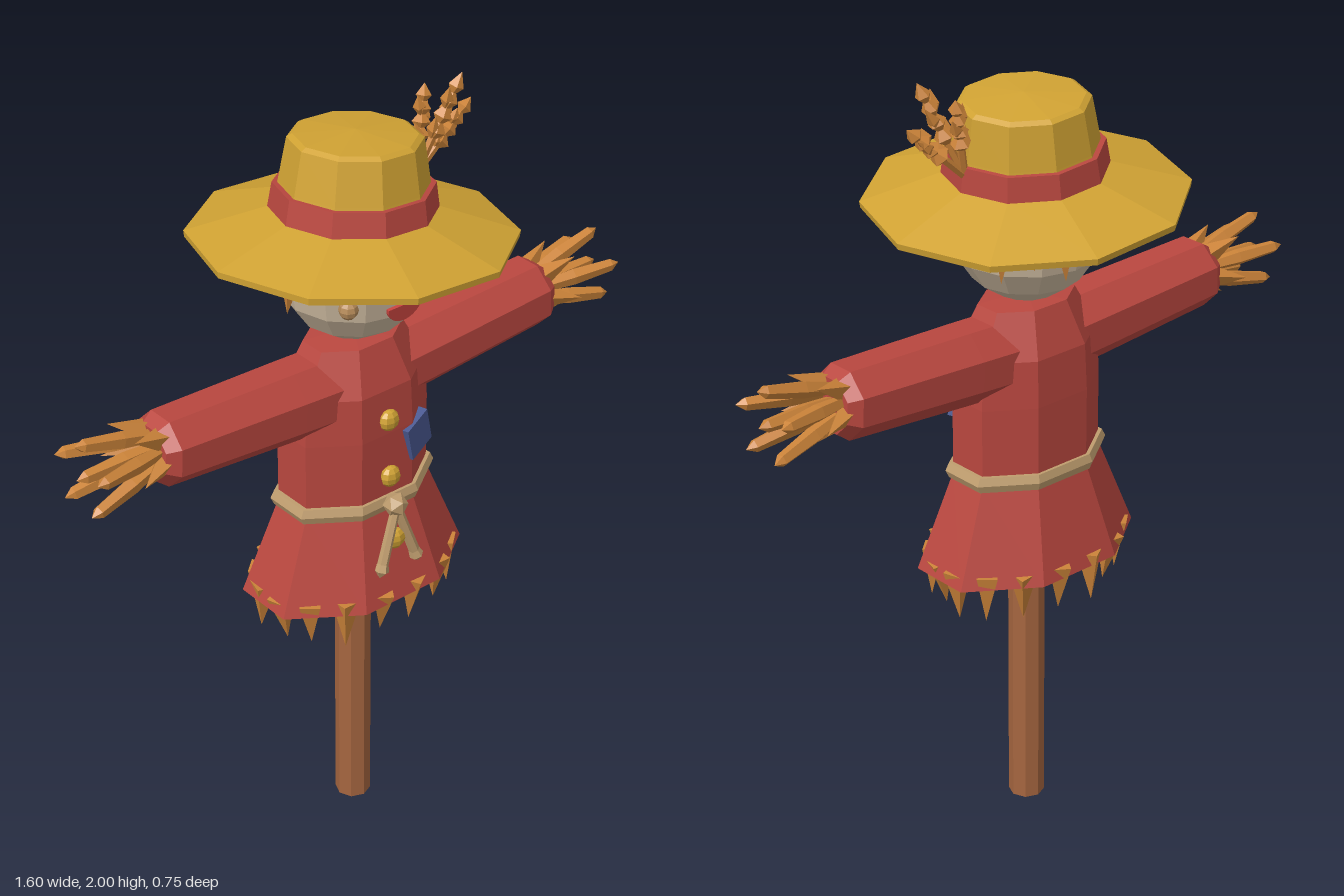
import * as THREE from 'three';

const mat = (name, color, double = false) => {
  const m = new THREE.MeshStandardMaterial({ color, flatShading: true });
  if (double) m.side = THREE.DoubleSide;
  m.name = name;
  return m;
};
const V = (x, y, z) => new THREE.Vector3(x, y, z);

export function createModel() {
  const red = mat('red cloth', 0xb9473f, true);
  const gold = mat('hat straw', 0xd0a233);
  const straw = mat('orange straw', 0xcb8339);
  const wood = mat('pole wood', 0xa5653f);
  const rope = mat('rope', 0xbf9d6e);
  const sack = mat('sackcloth', 0xccb99f);
  const blue = mat('patch blue', 0x4b5a92);
  const navy = mat('eye navy', 0x303a6c);
  const tan = mat('cheek tan', 0xb58a58);
  const mouthRed = mat('mouth red', 0xc9453f, true);

  const root = new THREE.Group();
  const add = (name, geo, material, parent = root) => {
    const m = new THREE.Mesh(geo, material);
    m.name = name;
    parent.add(m);
    return m;
  };
  const group = (name, parent = root) => {
    const g = new THREE.Group();
    g.name = name;
    parent.add(g);
    return g;
  };
  const lathe = (pts, sides, start = 0) =>
    new THREE.LatheGeometry(pts.map(p => new THREE.Vector2(p[0], p[1])), sides, start);
  // Turned profile running from a to b; each entry is [radius, fraction of the length]
  const rod = (name, a, b, profile, sides, material, parent) => {
    const d = b.clone().sub(a), len = d.length();
    const m = add(name, lathe(profile.map(([r, t]) => [r, t * len]), sides, Math.PI / sides), material, parent);
    m.position.copy(a);
    m.quaternion.setFromUnitVectors(V(0, 1, 0), d.normalize());
    return m;
  };
  const spike = r => [[0, 0], [r, 0], [0, 1]];

  // Pole
  add('pole', new THREE.CylinderGeometry(0.046, 0.046, 1.0, 8), wood).position.y = 0.5;

  // Coat: flared skirt below the belt, straight chest, sloped shoulders
  const DEPTH = 0.685;
  const coat = group('coat');
  coat.scale.z = DEPTH;
  add('coatBody', lathe([[0.31, 0.735], [0.206, 0.98], [0.206, 1.18], [0.198, 1.3], [0.135, 1.41], [0, 1.42]],
    8, Math.PI / 8), red, coat);
  const beltProfile = [];
  for (let i = 0; i <= 6; i++) {
    const a = i / 6 * Math.PI * 2;
    beltProfile.push([0.208 + 0.02 * Math.cos(a), 0.987 + 0.023 * Math.sin(a)]);
  }
  add('ropeBelt', lathe(beltProfile, 8, Math.PI / 8), rope, coat);

  // Straw fringe under the hem
  const fringe = group('hemFringe');
  for (let i = 0; i < 16; i++) {
    const a = (i + 0.5) / 16 * Math.PI * 2, s = Math.sin(a), c = Math.cos(a);
    const r = 0.262, tip = 0.255 + 0.015 * (i % 3 - 1);
    rod('fringeStraw', V(s * r, 0.765, c * r * DEPTH), V(s * tip, 0.63 + 0.012 * (i % 2), c * tip * DEPTH),
      spike(0.036), 4, straw, fringe);
  }

  // Belt knot with two hanging ends
  const knot = add('beltKnot', new THREE.IcosahedronGeometry(0.032, 0), rope);
  knot.position.set(0, 0.993, 0.162);
  for (const s of [-1, 1]) {
    rod('ropeEnd', V(0, 0.99, 0.165), V(s * 0.062, 0.81, 0.178),
      [[0, 0], [0.012, 0], [0.014, 0.8], [0.019, 0.9], [0, 1]], 6, rope);
  }

  // Buttons
  for (const [y, z] of [[1.222, 0.136], [1.066, 0.143], [0.895, 0.163]]) {
    const b = add('button', new THREE.SphereGeometry(0.028, 8, 6), gold);
    b.position.set(0, y, z);
    b.scale.z = 0.7;
  }

  // Chest patch
  const patch = add('chestPatch', new THREE.BoxGeometry(0.088, 0.095, 0.025), blue);
  patch.position.set(0.1, 1.135, 0.118);
  patch.rotation.set(0, 0.3, 0.25);

  // Arms with straw hands
  for (const s of [-1, 1]) {
    const arm = group(s > 0 ? 'leftArm' : 'rightArm');
    rod('sleeve', V(s * 0.05, 1.283, 0), V(s * 0.6, 1.312, 0),
      [[0, 0], [0.102, 0], [0.1, 0.3], [0.092, 0.945], [0.07, 1], [0, 1]], 8, red, arm);
    const straws = [0, 1, 2, 3, 4].map(i => i / 5 * Math.PI * 2);
    const at = (x, r, a) => V(s * x, 1.318 + r * Math.cos(a), r * Math.sin(a));
    const long = [[0, 0], [0.014, 0], [0.021, 0.45], [0.016, 0.9], [0, 1]];
    rod('longStraw', at(0.56, 0, 0), at(0.8, 0, 0), long, 5, straw, arm);
    for (const a of straws) {
      rod('longStraw', at(0.57, 0.03, a), at(0.8, 0.09, a), long, 5, straw, arm);
      rod('shortStraw', at(0.575, 0.04, a + 0.63), at(0.675, 0.092, a + 0.63), spike(0.034), 4, straw, arm);
    }
  }

  // Head
  const head = group('head');
  head.position.y = 1.597;
  add('sackHead', new THREE.SphereGeometry(0.186, 12, 8), sack, head);
  const onFace = (x, y, r = 0.186) => V(x, y, Math.sqrt(r * r - x * x - y * y));
  for (const s of [-1, 1]) {
    const arc = [];
    for (let i = 0; i <= 6; i++) {
      const a = Math.PI * (0.08 + 0.84 * i / 6);
      arc.push(onFace(s * 0.075 + 0.042 * Math.cos(a), 0.028 + 0.028 * Math.sin(a)));
    }
    add('smilingEye', new THREE.TubeGeometry(new THREE.CatmullRomCurve3(arc), 8, 0.0105, 5), navy, head);
    add('cheek', new THREE.SphereGeometry(0.024, 8, 6), tan, head).position.copy(onFace(s * 0.122, -0.03, 0.182));
  }
  // Open smile: a thin half disc
  const smile = new THREE.Shape();
  smile.absarc(0, 0, 0.05, Math.PI, Math.PI * 2);
  const mouth = add('mouth', new THREE.ExtrudeGeometry(smile, { depth: 0.009, bevelEnabled: false, curveSegments: 6 }),
    mouthRed, head);
  mouth.position.set(0, -0.034, 0.18);
  mouth.scale.y = 0.86;
  mouth.rotation.x = 0.1;

  // Straw hair around the sides and back
  for (let i = 0; i < 8; i++) {
    const a = Math.PI * (0.53 + 0.94 * i / 7), s = Math.sin(a), c = Math.cos(a);
    const drop = i % 2 ? -0.085 : -0.05;
    rod('hairStraw', V(s * 0.165, 0.085, c * 0.165), V(s * 0.184, drop, c * 0.184),
      [[0, 0], [0.03, 0], [0.024, 0.5], [0, 1]], 4, straw, head);
  }

  // Hat, tipped a little to one side
  const hat = group('hat');
  hat.position.y = 1.672;
  hat.rotation.set(-0.045, 0, -0.072);
  const T = Math.PI / 10;
  add('hatBrim', lathe([[0, 0.035], [0.19, 0.035], [0.39, -0.012], [0.392, 0.004], [0.19, 0.068], [0, 0.068]], 10, T),
    gold, hat);
  add('hatCrown', lathe([[0.19, 0.06], [0.176, 0.13], [0.158, 0.235], [0.145, 0.243], [0, 0.254]], 10, T), gold, hat);
  add('hatBand', lathe([[0.185, 0.06], [0.2, 0.06], [0.19, 0.125], [0.17, 0.125]], 10, T), red, hat);

  // Wheat ears tucked in the band
  const wheat = group('wheatEars');
  const foot = V(0.19, 1.76, 0);
  for (const tip of [V(0.3, 2.0, 0.033), V(0.355, 1.91, 0.005), V(0.245, 1.965, -0.035)]) {
    const p = t => foot.clone().lerp(tip, t);
    rod('wheatStem', foot, p(0.7), [[0, 0], [0.01, 0], [0.01, 1]], 5, straw, wheat);
    for (let i = 0; i < 4; i++) {
      const t = 0.32 + i * 0.145, r = 0.026 - i * 0.002;
      rod('wheatGrain', p(t), p(t + 0.24), [[0, 0], [r, 0.45], [0, 1]], 5, straw, wheat);
      // Side grains that break up the outline
      const side = V(i % 2 ? 0.026 : -0.026, 0.012, i % 2 ? -0.01 : 0.01);
      if (i < 3) rod('wheatGrain', p(t), p(t + 0.24).add(side), [[0, 0], [0.016, 0.5], [0, 1]], 4, straw, wheat);
    }
  }
  return root;
}
